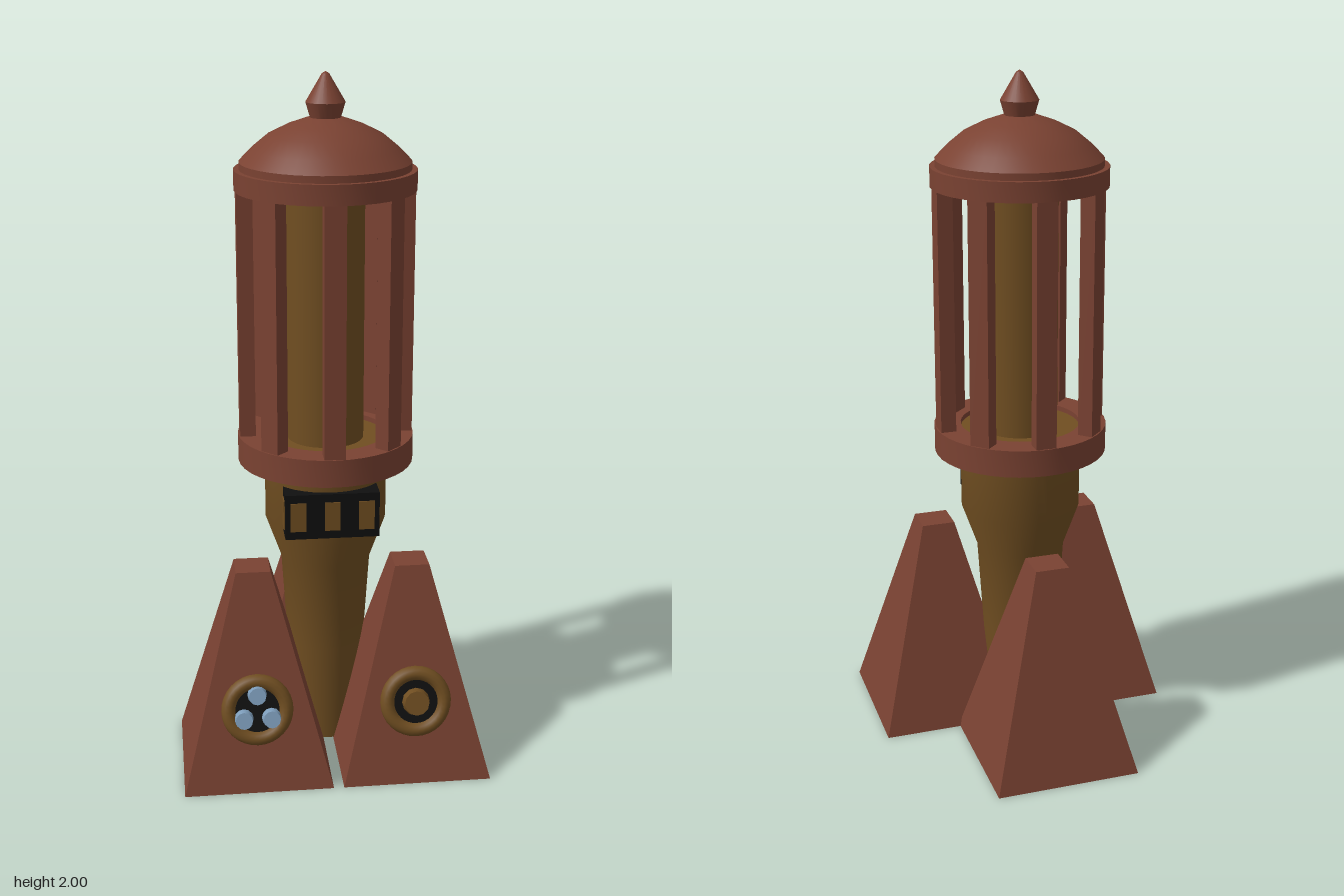
import * as THREE from 'three';
import { toCreasedNormals } from 'three/addons/utils/BufferGeometryUtils.js';

const AXIS_Z = 0.05; // the tower stands slightly forward of centre

function material(name, color) {
  const m = new THREE.MeshStandardMaterial({ color });
  m.name = name;
  return m;
}

export function createModel() {
  const rust = material('rust red', 0x7a4232);
  const brass = material('brass', 0x704e21);
  const black = material('black', 0x101010);
  const blue = material('pale blue', 0x7f9fbd);

  const model = new THREE.Group();
  model.name = 'rocketTower';

  function add(parent, name, geometry, mat, x = 0, y = 0, z = 0) {
    const mesh = new THREE.Mesh(geometry, mat);
    mesh.name = name;
    mesh.position.set(x, y, z);
    parent.add(mesh);
    return mesh;
  }
  // Revolved profile, listed bottom to top along the outside
  function lathe(points, segments = 40, crease = 0.5) {
    const profile = points.map(([r, y]) => new THREE.Vector2(r, y));
    return toCreasedNormals(new THREE.LatheGeometry(profile, segments), crease);
  }
  function ring(inner, outer, y0, y1) {
    return lathe([[inner, y0], [outer, y0], [outer, y1], [inner, y1], [inner, y0]]);
  }

  const tower = new THREE.Group();
  tower.name = 'tower';
  tower.position.z = AXIS_Z;
  model.add(tower);

  // Flared body and the column inside the cage
  add(tower, 'body', lathe([[0, 0.004], [0.095, 0.004], [0.115, 0.31], [0.132, 0.58],
    [0.178, 0.71], [0.178, 0.955], [0, 0.955]]), brass);
  add(tower, 'innerColumn', new THREE.CylinderGeometry(0.111, 0.111, 0.8, 32), brass, 0, 1.34, 0);

  // Cage: two rings joined by eight bars
  add(tower, 'lowerRing', ring(0.177, 0.255, 0.89, 0.97), rust);
  add(tower, 'upperRing', ring(0.19, 0.255, 1.68, 1.737), rust);
  const barGeometry = new THREE.BoxGeometry(0.06, 0.74, 0.045);
  for (let i = 0; i < 8; i++) {
    const a = (i * Math.PI) / 4;
    const bar = add(tower, 'cageBar', barGeometry, rust, Math.sin(a) * 0.2275, 1.325, Math.cos(a) * 0.2275);
    bar.rotation.y = a;
  }

  // Domed roof with a pointed finial
  add(tower, 'dome', lathe([[0, 1.725], [0.24, 1.725], [0.24, 1.757], [0.205, 1.793], [0.16, 1.83],
    [0.105, 1.857], [0.05, 1.876], [0, 1.88]], 40, 0.6), rust);
  add(tower, 'finial', lathe([[0.038, 1.86], [0.055, 1.918], [0.01, 1.994], [0, 2]], 24, 0.6), rust);

  // Boxed window on the front of the body
  const win = new THREE.Group();
  win.name = 'window';
  win.position.set(0, 0.777, 0.148);
  tower.add(win);
  add(win, 'windowFrame', new THREE.BoxGeometry(0.27, 0.135, 0.085), black);
  const pane = new THREE.BoxGeometry(0.045, 0.086, 0.006);
  for (const x of [-0.098, 0, 0.098]) add(win, 'windowPane', pane, brass, x, 0, 0.0425);
  for (const s of [-1, 1]) {
    const side = add(win, 'sidePane', pane, brass, s * 0.135, 0, 0.002);
    side.rotation.y = Math.PI / 2;
  }

  // Three tapered feet with square bases
  const footGeometry = new THREE.CylinderGeometry(0.05 * Math.SQRT2, 0.215 * Math.SQRT2, 0.62, 4)
    .rotateY(Math.PI / 4).toNonIndexed();
  footGeometry.computeVertexNormals();
  add(model, 'backFoot', footGeometry, rust, 0, 0.31, -0.21);
  add(model, 'leftFoot', footGeometry, rust, 0.23, 0.31, 0.205);
  add(model, 'rightFoot', footGeometry, rust, -0.23, 0.31, 0.205);

  // Round ports lying on the sloping front faces
  function port(name, x) {
    const group = new THREE.Group();
    group.name = name;
    group.position.set(x, 0.235, 0.3575);
    group.rotation.x = -Math.atan(0.165 / 0.62);
    model.add(group);
    add(group, 'portRim', new THREE.TorusGeometry(0.083, 0.021, 12, 32), brass);
    add(group, 'portPlate', new THREE.CircleGeometry(0.075, 32), black, 0, 0, 0.006);
    return group;
  }
  function stud(parent, name, radius, depth, mat, x, y) {
    const geometry = new THREE.CylinderGeometry(radius * 0.85, radius, depth, 12).rotateX(Math.PI / 2);
    add(parent, name, geometry, mat, x, y, depth / 2);
  }
  const lampPort = port('rightPort', -0.23);
  for (let i = 0; i < 3; i++) {
    const a = Math.PI / 2 + (i * 2 * Math.PI) / 3;
    stud(lampPort, 'lamp', 0.029, 0.034, blue, Math.cos(a) * 0.046, Math.sin(a) * 0.046);
  }
  const knobPort = port('leftPort', 0.23);
  stud(knobPort, 'knob', 0.042, 0.03, brass, 0, 0);

  return model;
}
